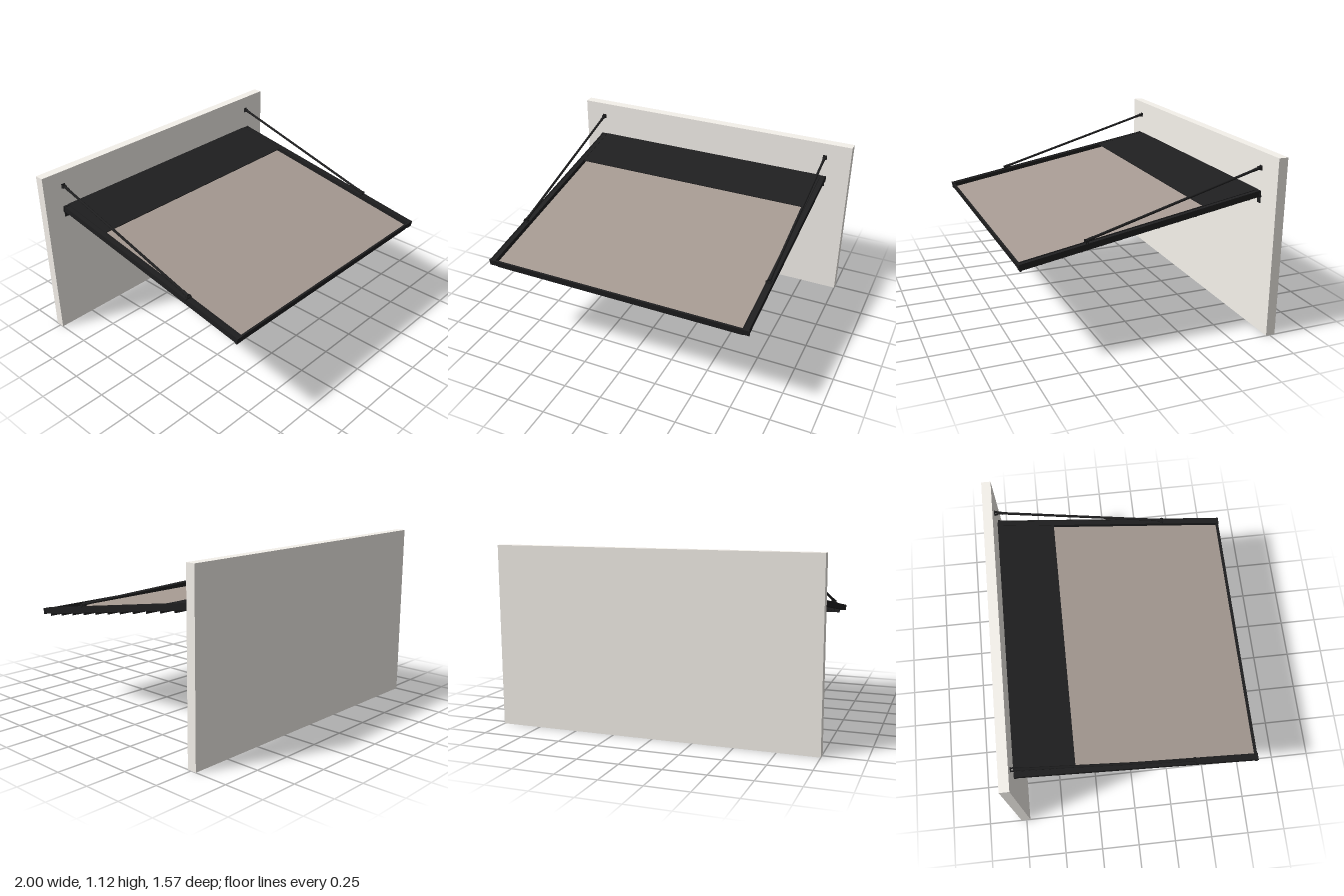
import * as THREE from 'three';

const mat = (color) => new THREE.MeshStandardMaterial({ color });
const dark = mat(0x1f1f20), fabricMat = mat(0xa79b93), wallMat = mat(0xf6f2ec);

function box(parent, name, [w, h, d], [x, y, z], material = dark) {
  const m = new THREE.Mesh(new THREE.BoxGeometry(w, h, d), material);
  m.name = name;
  m.position.set(x, y, z);
  parent.add(m);
  return m;
}

// cylinder running between two points
function rod(parent, name, a, b, r, sides = 16) {
  const dir = b.clone().sub(a);
  const m = new THREE.Mesh(new THREE.CylinderGeometry(r, r, dir.length(), sides), dark);
  m.name = name;
  m.position.copy(a).add(b).multiplyScalar(0.5);
  m.quaternion.setFromUnitVectors(new THREE.Vector3(0, 1, 0), dir.normalize());
  parent.add(m);
}

export function createModel() {
  const model = new THREE.Group();
  model.name = 'retractableAwning';

  box(model, 'wall', [2, 1.12, 0.06], [0, 0.56, -0.755], wallMat);

  // everything on the wall sits slightly off the wall's centre
  const awning = new THREE.Group();
  awning.name = 'awning';
  awning.position.x = -0.015;
  model.add(awning);

  // sloping roof frame
  const roof = new THREE.Group();
  roof.name = 'roofFrame';
  roof.position.set(0, 0.741, 0.03);
  roof.rotation.x = Math.atan(0.168);
  awning.add(roof);

  // fabric hangs low between the rails, the rear cover lies level with their tops
  box(roof, 'fabric', [1.64, 0.004, 1.5], [0, -0.01, 0], fabricMat);
  box(roof, 'rearCover', [1.64, 0.005, 0.372], [0, 0.0155, -0.58]);
  box(roof, 'frontBar', [1.64, 0.036, 0.012], [0, -0.002, 0.752]);
  box(roof, 'rearBar', [1.64, 0.034, 0.014], [0, 0.001, -0.757]);

  // cross slats under the fabric, each a blade with a small lip at its top
  for (let i = 0; i < 13; i++) {
    const z = 0.745 - i * 0.1207;
    box(roof, 'slat', [1.64, 0.026, 0.008], [0, -0.025, z]);
    box(roof, 'slatLip', [1.64, 0.005, 0.014], [0, -0.0145, z + 0.003]);
  }

  // roller tube at the wall end
  rod(roof, 'rollerTube', new THREE.Vector3(-0.82, -0.014, -0.725),
    new THREE.Vector3(0.82, -0.014, -0.725), 0.018, 20);

  for (const s of [-1, 1]) {
    const x = s * 0.84;

    // side rail with raised edges and end caps
    box(roof, 'sideRail', [0.038, 0.033, 1.515], [x, -0.001, 0]);
    for (const e of [-1, 1]) {
      box(roof, 'railFlange', [0.006, 0.037, 1.515], [x + e * 0.0165, 0.001, 0]);
      box(roof, 'railEndCap', [0.046, 0.039, 0.012], [x, 0, e * 0.755]);
    }

    // support rod from the rail up to the wall
    const low = new THREE.Vector3(x, 0.716, 0.38);
    const high = new THREE.Vector3(x, 1.02, -0.708);
    rod(awning, 'supportRod', low, high, 0.008);
    for (const [p, q] of [[low, high], [high, low]]) {
      rod(awning, 'rodSleeve', p, p.clone().lerp(q, 0.035), 0.0095);
    }

    // lower hinge on the rail
    for (const e of [-1, 1]) {
      box(awning, 'hingePlate', [0.005, 0.034, 0.018], [x + e * 0.012, 0.702, 0.382]);
    }
    rod(awning, 'hingePin', new THREE.Vector3(x - 0.023, 0.7, 0.38),
      new THREE.Vector3(x + 0.023, 0.7, 0.38), 0.007);

    // wall mount
    box(awning, 'wallPlate', [0.026, 0.03, 0.006], [x, 1.021, -0.724]);
    for (const e of [-1, 1]) {
      box(awning, 'wallLug', [0.005, 0.018, 0.02], [x + e * 0.009, 1.02, -0.713]);
    }
    box(awning, 'railWallBracket', [0.03, 0.06, 0.006], [x, 0.837, -0.722]);
  }

  return model;
}
